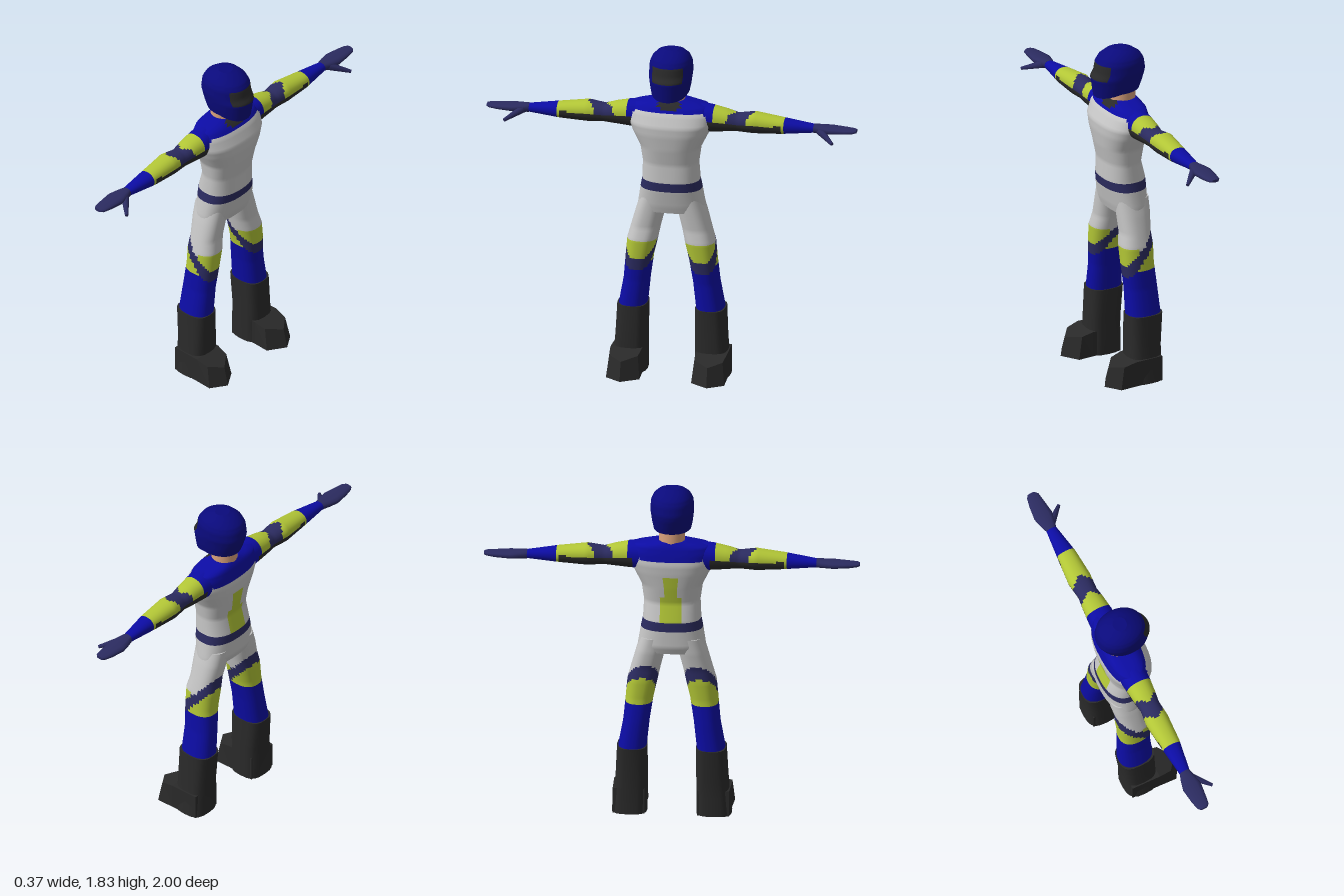
import * as THREE from 'three';

const mat = (name, color) => new THREE.MeshStandardMaterial({ name, color });
const WHITE = mat('suit white', 0xc6c6c6), BLACK = mat('black', 0x2a2a2a), BLUE = mat('blue', 0x0c0ca4);
const HELMET = mat('helmet blue', 0x0a0a7c), NAVY = mat('navy', 0x2b2b60);
const LIME = mat('lime', 0xb2c636), SKIN = mat('skin', 0xdba27c);

// Loft of rounded sections [h, xMin, xMax, min, max] along y (x and z spans) or z (x and y spans).
// paint(point) picks the material of each small face; side -1 mirrors across z = 0.
function loft(name, sections, { axis = 'y', paint, side = 1, power = 2, sides = 28, step = 0.014, warp }) {
  const rings = [];
  sections.forEach((s, k) => {
    const next = sections[k + 1];
    if (!next) return rings.push(s);
    const count = Math.max(1, Math.ceil((next[0] - s[0]) / step));
    for (let i = 0; i < count; i++) rings.push(s.map((v, q) => v + (next[q] - v) * i / count));
  });
  const points = [];
  const add = (h, u, v) => {
    const p = axis === 'y' ? new THREE.Vector3(u, h, v) : new THREE.Vector3(u, v, h);
    if (warp) warp(p);
    return points.push(p) - 1;
  };
  const round = t => Math.sign(t) * Math.abs(t) ** (2 / power);
  const addRing = ([h, a, b, c, d]) => {
    const ids = [];
    for (let j = 0; j < sides; j++) {
      const t = j / sides * Math.PI * 2;
      ids.push(add(h, (a + b) / 2 + (b - a) / 2 * round(Math.cos(t)), (c + d) / 2 + (d - c) / 2 * round(Math.sin(t))));
    }
    return ids;
  };
  const buckets = new Map();
  const flip = (axis === 'z') !== (side < 0);
  const face = (material, a, b, c) => {
    if (!buckets.has(material)) buckets.set(material, []);
    buckets.get(material).push(...(flip ? [a, c, b] : [a, b, c]));
  };
  const middle = ids => ids.reduce((m, i) => m.add(points[i]), new THREE.Vector3()).divideScalar(ids.length);

  const ids = rings.map(addRing);
  for (let i = 0; i + 1 < ids.length; i++) {
    for (let j = 0; j < sides; j++) {
      const k = (j + 1) % sides;
      const a = ids[i][j], b = ids[i + 1][j], c = ids[i + 1][k], d = ids[i][k];
      const m = paint(middle([a, b, c, d]));
      face(m, a, b, d);
      face(m, b, c, d);
    }
  }
  // End caps with their own vertices
  [rings[0], rings[rings.length - 1]].forEach((r, end) => {
    const rim = addRing(r), centre = add(r[0], (r[1] + r[2]) / 2, (r[3] + r[4]) / 2);
    for (let j = 0; j < sides; j++) {
      const k = (j + 1) % sides;
      const m = paint(middle([centre, rim[j], rim[k]]));
      if (end) face(m, centre, rim[k], rim[j]);
      else face(m, centre, rim[j], rim[k]);
    }
  });

  const geometry = new THREE.BufferGeometry();
  points.forEach(p => { p.z *= side; });
  geometry.setFromPoints(points);
  const index = [], materials = [];
  buckets.forEach((list, material) => {
    geometry.addGroup(index.length, list.length, materials.length);
    materials.push(material);
    for (const i of list) index.push(i);
  });
  geometry.setIndex(index);
  geometry.computeVertexNormals();
  const mesh = new THREE.Mesh(geometry, materials);
  mesh.name = name;
  return mesh;
}

// Suit pattern rules
function paintTorso({ x, y, z }) {
  if (x > -0.03 && Math.abs(z) < 0.06 && y > 1.485 + Math.abs(z) * 0.7) return BLACK;
  if (y > 1.47 + 0.25 * (x + 0.05)) return BLUE;
  if (y > 1.055 && y < 1.105) return NAVY;
  if (x < -0.08 && y > 1.105 && y < 1.36 && Math.abs(z) < 0.06 - 0.1 * (y - 1.1)) return LIME;
  return WHITE;
}
function paintLeg({ x, y }) {
  const band = 0.65 - 1.1 * x;
  if (Math.abs(y - band) < 0.036) return NAVY;
  if (y < band) return y > 0.63 ? LIME : BLUE;
  return x > -0.04 && y < 0.755 ? LIME : WHITE;
}
function paintArm({ x, y, z }) {
  if (z > 0.2 && z < 0.6 && y < 1.435 + 0.4 * Math.abs(z - 0.4) ** 2) return BLACK;
  const chevron = z + 0.7 * Math.abs(x + 0.055);
  if (z < 0.23) return BLUE;
  if (chevron < 0.35) return LIME;
  if (chevron < 0.45) return NAVY;
  return z < 0.61 ? LIME : BLUE;
}
function paintHelmet({ x, y, z }) {
  return x > 0.015 && y > 1.682 && y < 1.765 && Math.abs(z) < 0.085 ? BLACK : HELMET;
}

// Wedge-shaped foot with a pointed toe
function makeFoot(side) {
  const outline = [[-0.13, 0.14], [0.03, 0.145], [0.12, 0.14], [0.18, 0.235], [0.125, 0.32], [0.03, 0.315], [-0.13, 0.31]];
  const shape = new THREE.Shape(outline.map(([x, z]) => new THREE.Vector2(x, z * side)));
  const geometry = new THREE.ExtrudeGeometry(shape, { depth: 0.14, bevelEnabled: false });
  geometry.rotateX(Math.PI / 2).translate(0, 0.14, 0);
  const pos = geometry.attributes.position;
  for (let i = 0; i < pos.count; i++) {
    if (pos.getY(i) < 0.1 || pos.getX(i) < 0.05) continue;
    const x = pos.getX(i) - 0.025;
    pos.setXYZ(i, x, 0.14 - 0.28 * (x - 0.03), side * (0.23 + (pos.getZ(i) * side - 0.23) * 0.85));
  }
  geometry.computeVertexNormals();
  const mesh = new THREE.Mesh(geometry, BLACK);
  mesh.name = 'foot';
  return mesh;
}

function makeThumb(side) {
  const from = new THREE.Vector3(-0.045, 1.428, 0.80 * side), to = new THREE.Vector3(0.047, 1.388, 0.888 * side);
  const dir = to.clone().sub(from);
  const mesh = new THREE.Mesh(new THREE.CylinderGeometry(0.009, 0.023, dir.length(), 8), NAVY);
  mesh.position.copy(from).addScaledVector(dir, 0.5);
  mesh.quaternion.setFromUnitVectors(new THREE.Vector3(0, 1, 0), dir.normalize());
  mesh.name = 'thumb';
  return mesh;
}

export function createModel() {
  const model = new THREE.Group();
  model.name = 'rider';
  const sym = rows => rows.map(([y, a, b, w]) => [y, a, b, -w, w]);

  model.add(loft('torso', sym([
    [0.92, -0.15, 0.03, 0.183], [0.96, -0.165, 0.042, 0.18], [1.05, -0.165, 0.06, 0.165],
    [1.1, -0.163, 0.065, 0.155], [1.2, -0.137, 0.062, 0.15], [1.29, -0.152, 0.08, 0.163],
    [1.37, -0.162, 0.09, 0.203], [1.42, -0.165, 0.09, 0.222], [1.48, -0.155, 0.06, 0.225],
    [1.52, -0.145, 0.03, 0.2], [1.545, -0.13, 0.0, 0.08],
  ]), { paint: paintTorso, power: 2.4, sides: 40 }));

  model.add(loft('neck', sym([[1.5, -0.135, 0.005, 0.07], [1.63, -0.13, 0.01, 0.07]]), { paint: () => SKIN, step: 1 }));

  // Helmet, with the chin bar pulled down at the front
  model.add(loft('helmet', sym([
    [1.6, -0.15, 0.103, 0.1], [1.64, -0.166, 0.112, 0.108], [1.68, -0.18, 0.12, 0.113],
    [1.71, -0.185, 0.1, 0.116], [1.76, -0.177, 0.09, 0.113], [1.79, -0.16, 0.07, 0.1],
    [1.815, -0.125, 0.03, 0.075], [1.83, -0.085, -0.01, 0.04],
  ]), {
    paint: paintHelmet, power: 2.1, sides: 40,
    warp: p => { if (p.y < 1.66) p.y -= 0.42 * (1.66 - p.y) * Math.max(0, p.x / 0.1); },
  }));

  for (const side of [1, -1]) {
    const label = side > 0 ? 'plusZ' : 'minusZ';
    const leg = new THREE.Group(), arm = new THREE.Group();
    leg.name = label + 'Leg';
    arm.name = label + 'Arm';

    leg.add(loft('trouserLeg', [
      [0.36, -0.163, 0.028, 0.135, 0.287], [0.52, -0.154, 0.026, 0.118, 0.258], [0.65, -0.143, 0.036, 0.098, 0.246],
      [0.75, -0.145, 0.038, 0.075, 0.237], [0.82, -0.14, 0.025, 0.06, 0.218], [0.92, -0.152, 0.028, 0.035, 0.19],
      [1.0, -0.155, 0.03, 0.02, 0.165],
    ], { paint: paintLeg, side, power: 2.4, sides: 36 }));
    leg.add(loft('bootShaft', [
      [0, -0.15, 0.035, 0.13, 0.32], [0.1, -0.15, 0.035, 0.13, 0.31], [0.2, -0.152, 0.035, 0.13, 0.3],
      [0.375, -0.167, 0.032, 0.13, 0.291],
    ], { paint: () => BLACK, side, power: 3, sides: 20, step: 1 }));
    leg.add(makeFoot(side));

    arm.add(loft('sleeve', [
      [0.15, -0.13, 0.02, 1.375, 1.53], [0.22, -0.125, 0.018, 1.378, 1.522], [0.3, -0.117, 0.01, 1.385, 1.505],
      [0.36, -0.108, 0.002, 1.39, 1.487], [0.45, -0.12, 0.008, 1.385, 1.5], [0.6, -0.105, 0.0, 1.393, 1.48],
      [0.78, -0.085, -0.03, 1.41, 1.453],
    ], { axis: 'z', paint: paintArm, side, power: 2.2 }));
    arm.add(loft('glove', [
      [0.77, -0.086, -0.028, 1.408, 1.455], [0.81, -0.1, -0.018, 1.41, 1.452], [0.86, -0.112, -0.008, 1.41, 1.45],
      [0.94, -0.102, -0.018, 1.414, 1.445], [0.985, -0.092, -0.025, 1.42, 1.442], [1.0, -0.08, -0.04, 1.423, 1.44],
    ], { axis: 'z', paint: () => NAVY, side, power: 2.5, sides: 12, step: 1 }));
    arm.add(makeThumb(side));
    model.add(leg, arm);
  }
  return model;
}
